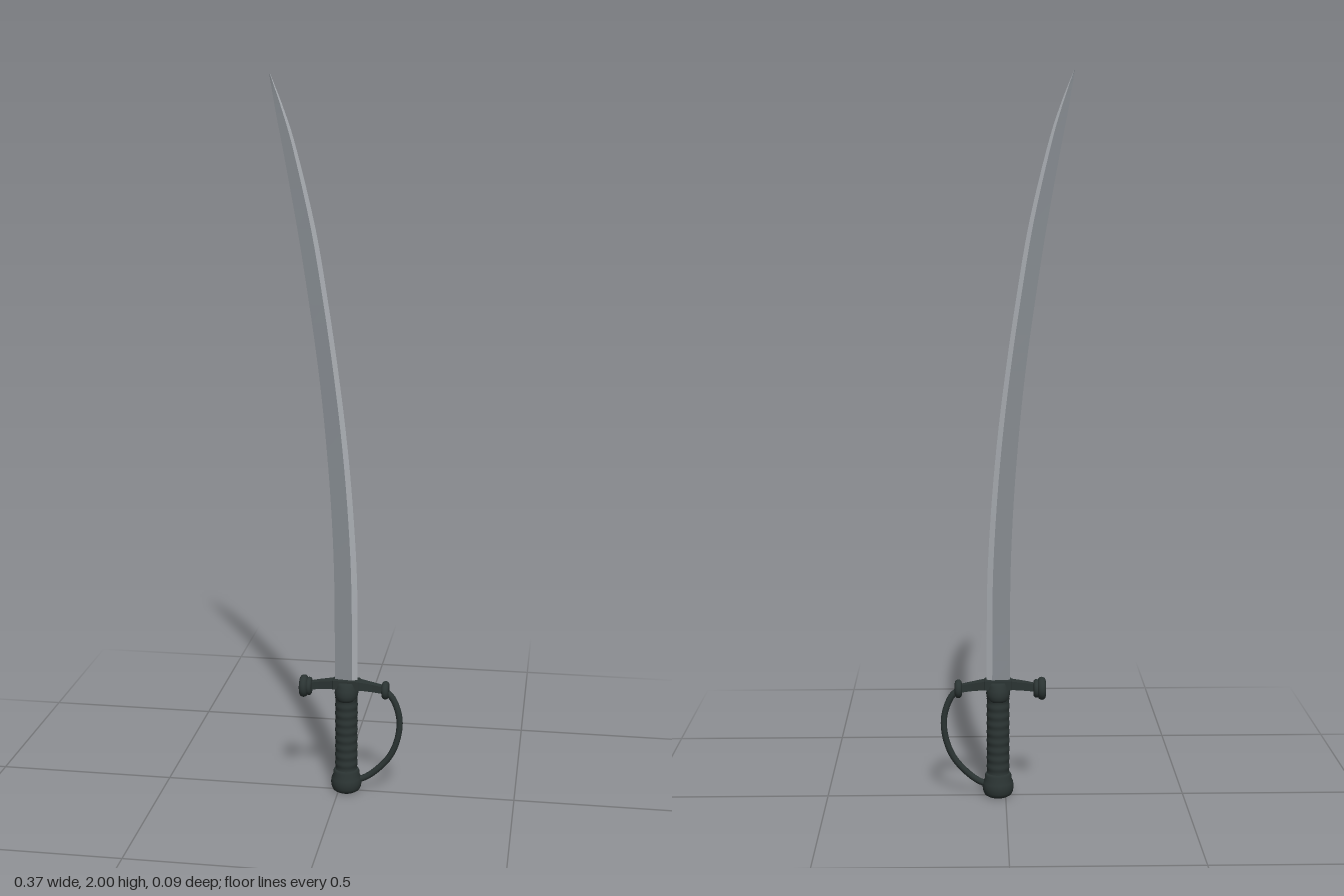
import * as THREE from 'three';

const steel = new THREE.MeshStandardMaterial({ color: 0x878c91 });
steel.name = 'bladeSteel';
const brightSteel = new THREE.MeshStandardMaterial({ color: 0xa9adb2 });
brightSteel.name = 'brightSteel';
const dark = new THREE.MeshStandardMaterial({ color: 0x2b3433 });
dark.name = 'darkHilt';

const CX = 0.021; // grip axis

function add(group, name, geometry, material) {
  const mesh = new THREE.Mesh(geometry, material);
  mesh.name = name;
  group.add(mesh);
  return mesh;
}

// Flat-faced skin through rings of points, closed at both ends
function loft(rings) {
  const n = rings[0].length;
  const pos = [];
  const tri = (a, b, c) => pos.push(...a, ...b, ...c);
  for (let r = 0; r < rings.length - 1; r++) {
    for (let i = 0; i < n; i++) {
      const j = (i + 1) % n;
      const a = rings[r], b = rings[r + 1];
      tri(a[i], a[j], b[j]);
      tri(a[i], b[j], b[i]);
    }
  }
  const first = rings[0], last = rings[rings.length - 1];
  for (let i = 1; i < n - 1; i++) {
    tri(first[0], first[i + 1], first[i]);
    tri(last[0], last[i], last[i + 1]);
  }
  const g = new THREE.BufferGeometry();
  g.setAttribute('position', new THREE.Float32BufferAttribute(pos, 3));
  g.computeVertexNormals();
  return g;
}

function lathe(points, segments = 32) {
  return new THREE.LatheGeometry(points.map(([r, y]) => new THREE.Vector2(r, y)), segments);
}

// Curved blade: edge x, spine x at each height; a flat body and a bevelled bright spine
function addBlade(group) {
  const rows = [
    [-0.012, 0.053, 0.32], [-0.013, 0.051, 0.6], [-0.02, 0.041, 0.8], [-0.034, 0.024, 1.0],
    [-0.054, 0, 1.2], [-0.081, -0.029, 1.4], [-0.112, -0.063, 1.6],
    [-0.148, -0.111, 1.8], [-0.167, -0.142, 1.9], [-0.184, -0.181, 2.0],
  ];
  const curve = (k) => new THREE.CatmullRomCurve3(
    rows.map((r) => new THREE.Vector3(r[k], r[2], 0)), false, 'catmullrom', 0.5);
  const edge = curve(0), spine = curve(1);
  const body = [], bevel = [];
  const N = 36;
  for (let i = 0; i <= N; i++) {
    const e = edge.getPoint(i / N), s = spine.getPoint(i / N);
    const ridge = THREE.MathUtils.lerp(e.x, s.x, 0.76);
    const t = THREE.MathUtils.lerp(0.0075, 0.002, i / N);
    const f = t * 0.3;
    body.push([[ridge, s.y, -t], [e.x, s.y, -f], [e.x, s.y, f], [ridge, s.y, t]]);
    bevel.push([[s.x, s.y, 0], [ridge, s.y, -t], [ridge, s.y, t]]);
  }
  add(group, 'bladeBody', loft(body), steel);
  add(group, 'bladeSpine', loft(bevel), brightSteel);
}

// Crossguard: x, centre y, half height, half depth
function guardGeometry() {
  const rows = [
    [-0.095, 0.311, 0.01, 0.009], [-0.06, 0.317, 0.011, 0.011], [-0.018, 0.322, 0.012, 0.015],
    [-0.015, 0.323, 0.013, 0.018], [0.057, 0.323, 0.013, 0.018],
    [0.06, 0.322, 0.012, 0.015], [0.095, 0.317, 0.011, 0.011], [0.13, 0.311, 0.01, 0.009],
  ];
  return loft(rows.map(([x, y, h, d]) => [[x, y + h, -d], [x, y + h, d], [x, y - h, d], [x, y - h, -d]]));
}

// Rounded disc lying across the guard
function knob(group, name, x, radius, width) {
  const w = width / 2;
  const profile = [[0, -w]];
  for (let i = 0; i <= 8; i++) {
    const a = -Math.PI / 2 + (i / 8) * Math.PI;
    profile.push([radius - w + w * Math.cos(a), w * Math.sin(a)]);
  }
  profile.push([0, w]);
  const mesh = add(group, name, lathe(profile, 24), dark);
  mesh.rotation.z = -Math.PI / 2;
  mesh.position.set(x, 0.31, 0);
}

export function createModel() {
  const model = new THREE.Group();
  model.name = 'sabre';

  const blade = new THREE.Group();
  blade.name = 'blade';
  model.add(blade);
  addBlade(blade);

  // Hilt core, turned around the grip axis
  const hilt = new THREE.Group();
  hilt.name = 'hilt';
  hilt.position.x = CX;
  model.add(hilt);
  add(hilt, 'pommel', lathe([
    [0, 0], [0.03, 0], [0.038, 0.005], [0.042, 0.014], [0.044, 0.027], [0.042, 0.04],
    [0.037, 0.05], [0.037, 0.06], [0.033, 0.067], [0, 0.067],
  ]), dark);
  const ribs = [];
  for (let i = 0; i <= 72; i++) {
    ribs.push([0.0315 + 0.0009 * Math.cos((i / 72) * Math.PI * 18), 0.06 + (i / 72) * 0.225]);
  }
  add(hilt, 'grip', lathe(ribs), dark);
  const collar = add(hilt, 'collar', lathe([
    [0, 0.278], [0.033, 0.278], [0.037, 0.286], [0.039, 0.297], [0.037, 0.31],
    [0.032, 0.321], [0.028, 0.33], [0, 0.33],
  ]), dark);
  collar.scale.x = 0.86;

  // Crossguard with end knobs
  add(model, 'crossguard', guardGeometry(), dark);
  knob(model, 'largeKnob', -0.101, 0.032, 0.023);
  knob(model, 'largeKnobStep', -0.086, 0.026, 0.016);
  knob(model, 'smallKnob', 0.132, 0.026, 0.02);

  // Knuckle bow from the small knob down to the pommel
  const path = new THREE.CatmullRomCurve3([
    [0.132, 0.307], [0.15, 0.29], [0.166, 0.255], [0.173, 0.215], [0.166, 0.16],
    [0.145, 0.11], [0.108, 0.067], [0.075, 0.042], [0.045, 0.03],
  ].map(([x, y]) => new THREE.Vector3(x, y, 0)));
  add(model, 'knuckleBow', new THREE.TubeGeometry(path, 48, 0.009, 10), dark);

  return model;
}
